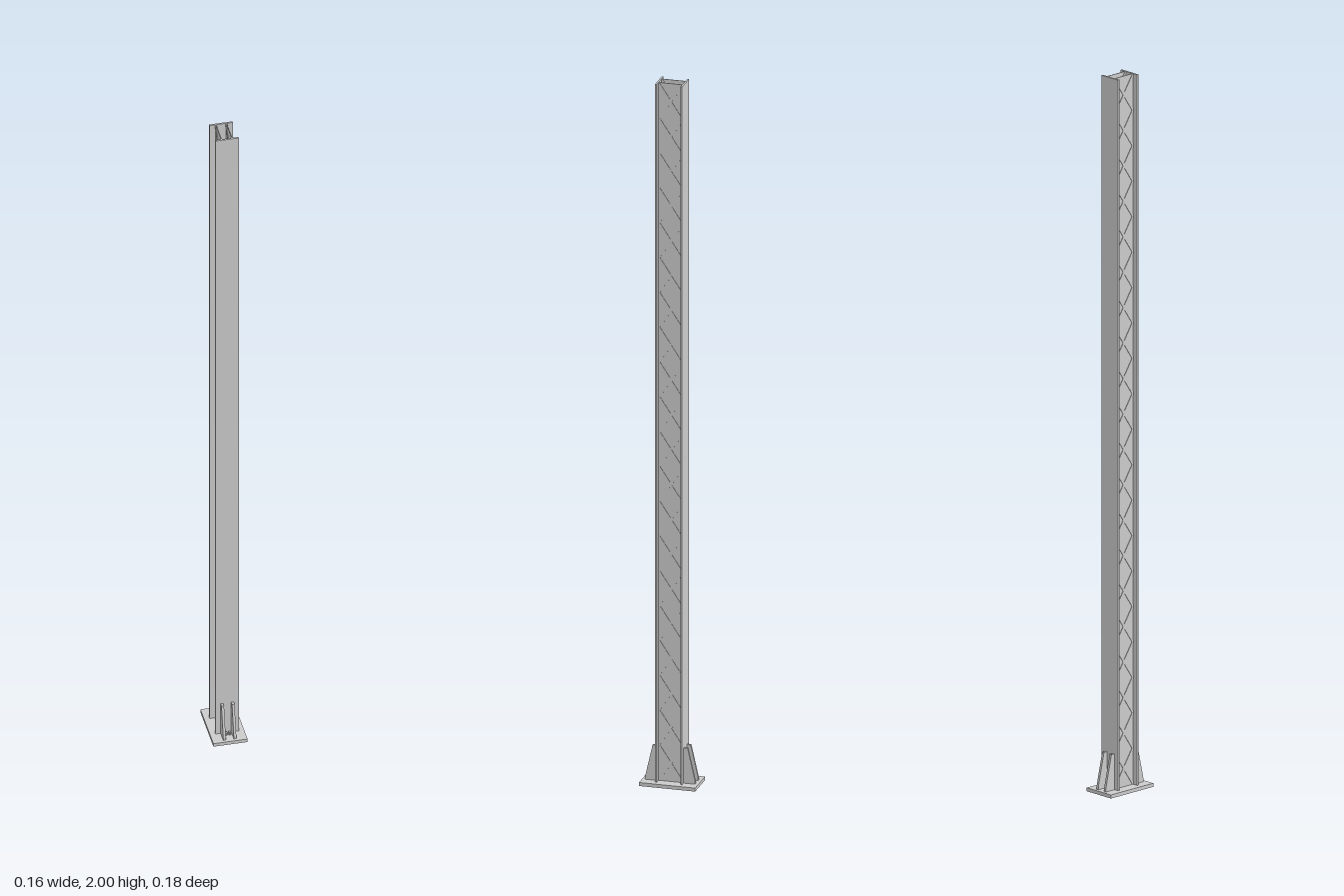
import * as THREE from 'three';

export function createModel() {
  const model = new THREE.Group();
  model.name = 'latticeColumn';
  const mat = new THREE.MeshStandardMaterial({ color: 0xcccccc, flatShading: true });

  function add(name, geometry, x, y, z, parent = model) {
    const mesh = new THREE.Mesh(geometry, mat);
    mesh.name = name;
    mesh.position.set(x, y, z);
    parent.add(mesh);
    return mesh;
  }
  const box = (w, h, d) => new THREE.BoxGeometry(w, h, d);

  const plateH = 0.01, top = 2;
  const height = top - plateH, midY = (top + plateH) / 2;
  const halfW = 0.032, halfD = 0.038, flangeT = 0.005;
  const webX = 0.0145, inner = halfD - flangeT;

  // Base plate
  add('basePlate', box(0.094, plateH, 0.157), 0, plateH / 2, 0);

  // Gusset profile: x runs outward from the flange, y runs up
  const profile = new THREE.Shape([
    [0, 0], [0.032, 0], [0.032, 0.008], [0.011, 0.1], [0, 0.1],
  ].map(([x, y]) => new THREE.Vector2(x, y)));
  const gussetT = 0.007;
  const gussetGeo = new THREE.ExtrudeGeometry(profile, { depth: gussetT, bevelEnabled: false });
  gussetGeo.translate(0, 0, -gussetT / 2).rotateY(-Math.PI / 2);
  const boltGeo = new THREE.CylinderGeometry(0.004, 0.004, 0.008, 8);

  // Each end: wide flange, two gussets and two anchor bolts
  for (const turn of [0, Math.PI]) {
    const end = new THREE.Group();
    end.name = turn ? 'rearSide' : 'frontSide';
    end.rotation.y = turn;
    model.add(end);
    add('flange', box(2 * halfW, height, flangeT), 0, midY, halfD - flangeT / 2, end);
    for (const s of [-1, 1]) {
      add('gusset', gussetGeo, s * webX, plateH, halfD, end);
      add('anchorBolt', boltGeo, s * 0.005, plateH + 0.004, 0.047, end);
    }
  }

  // Webs with crossed lattice bars
  const cells = 20, y0 = plateH + 0.0025, cellH = (top - 0.0025 - y0) / cells;
  const barL = Math.hypot(cellH, 2 * inner), angle = Math.atan2(2 * inner, cellH);
  const barGeo = box(0.005, barL, 0.007);
  for (const s of [-1, 1]) {
    add('web', box(0.002, height, 2 * inner), s * webX, midY, 0);
    for (let i = 0; i < cells; i++) {
      for (const tilt of [-1, 1]) {
        const bar = add('latticeBar', barGeo, s * webX, y0 + (i + 0.5) * cellH, 0);
        bar.rotation.x = tilt * angle;
      }
    }
  }

  // The whole column stands turned about its upright axis
  model.rotation.y = THREE.MathUtils.degToRad(27);
  const root = new THREE.Group();
  root.name = 'column';
  root.add(model);
  return root;
}
